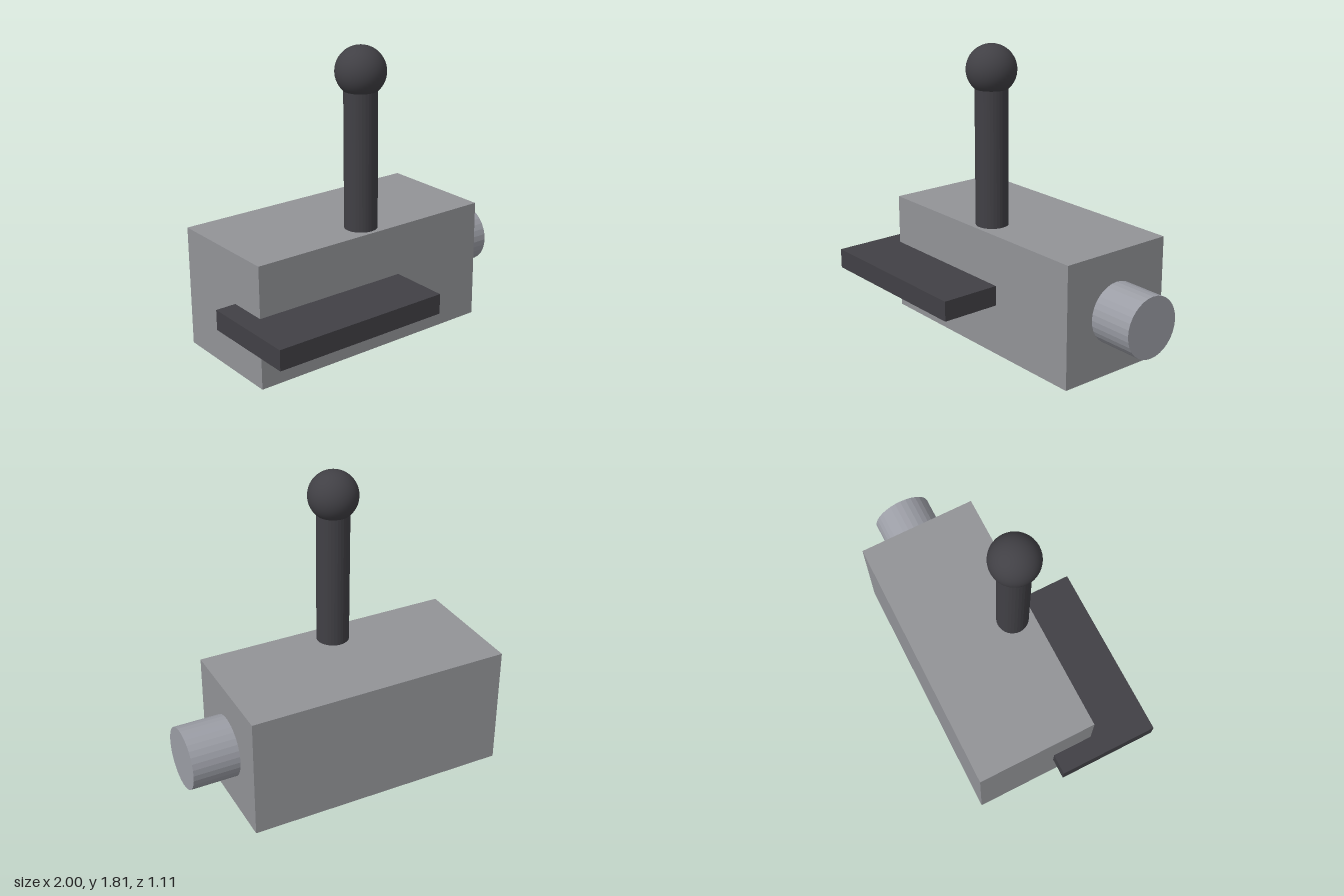
import * as THREE from 'three';

export function createModel() {
  const model = new THREE.Group();
  model.name = 'leverBox';

  const material = (name, hex) => {
    const m = new THREE.MeshStandardMaterial({ color: hex });
    m.name = name;
    return m;
  };
  const bodyGrey = material('bodyGrey', 0x929397);
  const steelGrey = material('steelGrey', 0x9b9da5);
  const darkGrey = material('darkGrey', 0x414045);

  const add = (name, geometry, mat, x, y, z) => {
    const mesh = new THREE.Mesh(geometry, mat);
    mesh.name = name;
    mesh.position.set(x, y, z);
    model.add(mesh);
    return mesh;
  };
  // Cylinder with flat facets
  const faceted = (radius, length, sides) => {
    const g = new THREE.CylinderGeometry(radius, radius, length, sides).toNonIndexed();
    g.computeVertexNormals();
    return g;
  };

  // Main housing
  add('housing', new THREE.BoxGeometry(1.595, 0.74, 0.74), bodyGrey, -0.078, 0.37, -0.185);

  // Flat plate projecting from the front and the right end
  add('sidePlate', new THREE.BoxGeometry(1.105, 0.122, 0.615), darkGrey, -0.4475, 0.371, 0.2445);

  // Round stub on the left end
  const stub = add('endStub', faceted(0.184, 0.32, 32), steelGrey, 0.84, 0.371, -0.185);
  stub.rotation.z = -Math.PI / 2;

  // Upright lever with ball knob
  add('leverShaft', faceted(0.098, 0.88, 32), darkGrey, -0.08, 1.16, 0.062);
  add('leverKnob', new THREE.SphereGeometry(0.147, 40, 28), darkGrey, -0.08, 1.665, 0.062);

  return model;
}
